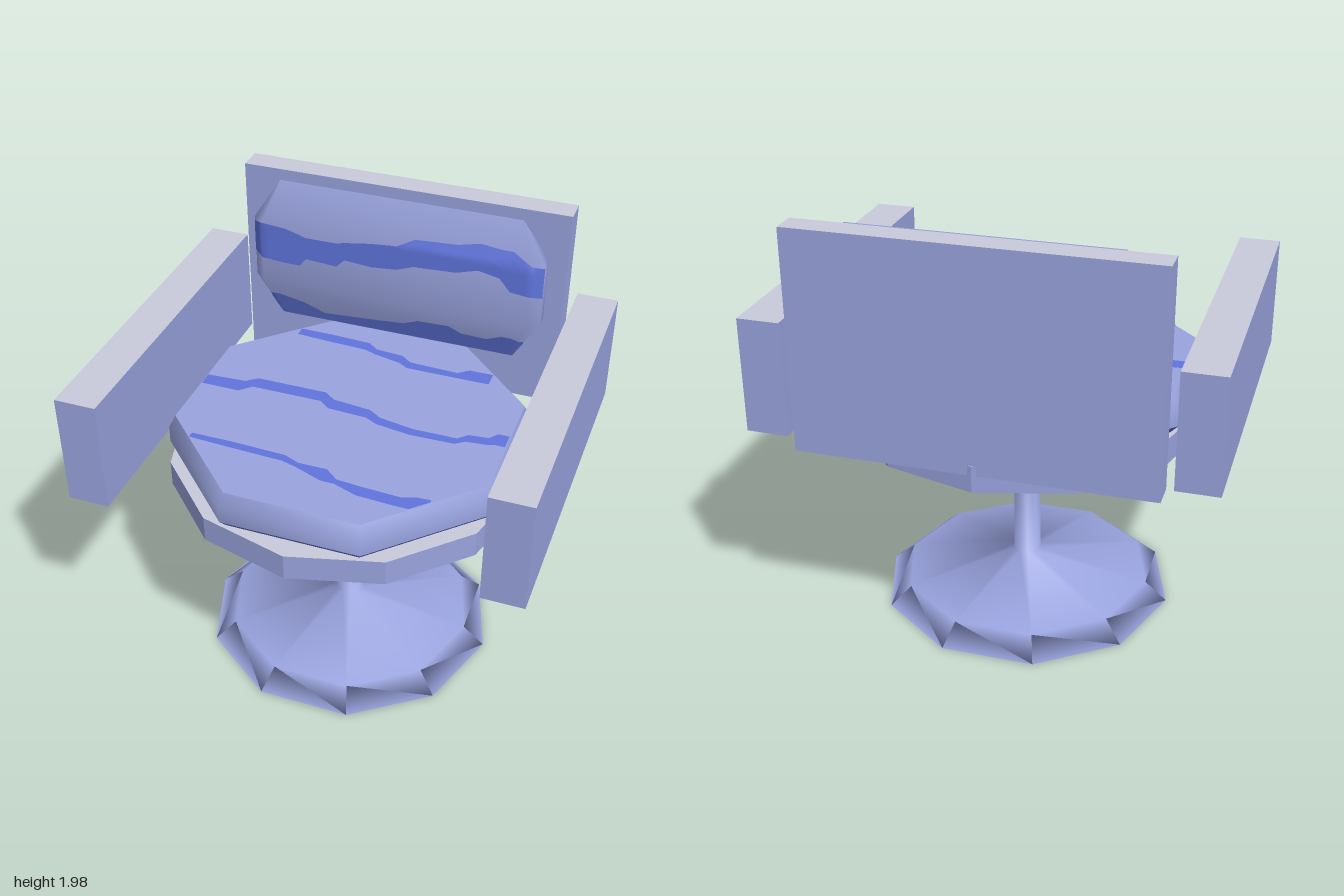
import * as THREE from 'three';

const mat = (name, color, side = THREE.FrontSide) => {
  const m = new THREE.MeshStandardMaterial({ color, side });
  m.name = name;
  return m;
};

export function createModel() {
  const model = new THREE.Group();
  const body = mat('lavender blue', 0x99a3de);
  const trim = mat('pale grey', 0xc9cadb);
  const stripe = mat('stripe blue', 0x6074dc, THREE.DoubleSide);

  const add = (name, geometry, material, x = 0, y = 0, z = 0) => {
    const mesh = new THREE.Mesh(geometry, material);
    mesh.name = name;
    mesh.position.set(x, y, z);
    model.add(mesh);
    return mesh;
  };
  const lathe = (pts, sides, start) =>
    new THREE.LatheGeometry(pts.map(([r, y]) => new THREE.Vector2(r, y)), sides, start);

  // Ribbon lying on a surface: points are [x, low, high], place maps (x, v) to a position
  const ribbon = (points, place, rows = 8) => {
    const pos = [], index = [], fine = [];
    const cuts = 3;
    points.forEach((p, i) => {
      const next = points[i + 1];
      for (let k = 0; k < (next ? cuts : 1); k++) {
        fine.push(next ? p.map((v, c) => v + (next[c] - v) * k / cuts) : p);
      }
    });
    fine.forEach(([x, low, high], i) => {
      for (let j = 0; j <= rows; j++) {
        pos.push(...place(x, low + (high - low) * j / rows));
        if (i < fine.length - 1 && j < rows) {
          const a = i * (rows + 1) + j, b = a + rows + 1;
          index.push(a, b, a + 1, b, b + 1, a + 1);
        }
      }
    });
    const g = new THREE.BufferGeometry();
    g.setAttribute('position', new THREE.Float32BufferAttribute(pos, 3));
    g.setIndex(index);
    g.computeVertexNormals();
    return g;
  };

  // Ten-sided foot, column and flared top
  add('pedestal', lathe([[0, 0], [0.68, 0], [0.58, 0.085], [0.066, 0.185], [0.06, 0.86], [0.14, 0.935]],
    10, Math.PI / 2), body);

  // Twelve-sided seat plate
  add('seatPlate', new THREE.CylinderGeometry(0.81, 0.81, 0.12, 12).toNonIndexed(), [body, trim, body], 0, 0.99, 0);
  const plate = model.getObjectByName('seatPlate').geometry;
  plate.computeVertexNormals();

  // Armrests and backrest panel with pale upper faces
  const boxMats = [body, body, trim, body, body, body];
  for (const [side, name] of [[1, 'leftArmrest'], [-1, 'rightArmrest']]) {
    add(name, new THREE.BoxGeometry(0.185, 0.51, 1.545), boxMats, side * 0.9075, 1.305, -0.002);
  }
  add('backPanel', new THREE.BoxGeometry(1.54, 0.975, 0.115), boxMats, 0, 1.4925, -0.7475);

  // Octagonal seat cushion with a coloured lower edge
  const k = 1 / Math.cos(Math.PI / 8);
  add('seatCushionSide', lathe([[0.745 * k, 1.09], [0.745 * k, 1.165], [0.715 * k, 1.228]], 8, Math.PI / 8), body);
  add('seatCushionLowerEdge', lathe([[0.71 * k, 1.05], [0.745 * k, 1.09]], 8, Math.PI / 8), stripe);
  const top = add('seatCushionTop', new THREE.CircleGeometry(0.715 * k, 8, Math.PI / 8), body, 0, 1.228, 0);
  top.rotation.x = -Math.PI / 2;

  // Seat stripes: [x, z near back, z near front]
  const seatStripes = [
    [[-0.45, -0.55, -0.5], [-0.3, -0.55, -0.49], [-0.1, -0.54, -0.48], [-0.05, -0.5, -0.46], [0.08, -0.49, -0.43],
      [0.13, -0.45, -0.4], [0.36, -0.44, -0.4], [0.41, -0.48, -0.4], [0.52, -0.48, -0.4]],
    [[-0.71, -0.04, 0.03], [-0.53, -0.05, 0.03], [-0.48, -0.09, -0.02], [-0.15, -0.09, -0.02], [-0.1, -0.05, 0.02],
      [0.08, -0.03, 0.03], [0.14, 0.01, 0.06], [0.3, 0.04, 0.085], [0.5, 0.04, 0.08], [0.54, 0, 0.05],
      [0.63, -0.01, 0.04], [0.66, -0.05, 0.03], [0.71, -0.05, 0.03]],
    [[-0.59, 0.39, 0.42], [-0.4, 0.39, 0.43], [-0.15, 0.4, 0.44], [-0.08, 0.43, 0.46], [0.05, 0.43, 0.51],
      [0.11, 0.48, 0.51], [0.22, 0.49, 0.55], [0.4, 0.5, 0.56], [0.45, 0.48, 0.56], [0.52, 0.475, 0.49]],
  ];
  for (const points of seatStripes) {
    add('seatStripe', ribbon(points, (x, z) => [x, 1.232, -z * -1], 1), stripe);
  }

  // Back cushion: eight-point cross-sections that pinch to a ridge at top and bottom
  const zMid = -0.625;
  const section = y => {
    const t = Math.max(0, (y - 1.77) / 0.19, (1.47 - y) / 0.21);
    return { outer: 0.69 - 0.12 * t, inner: 0.64 - 0.07 * t, deep: 0.075 * (1 - t), edge: 0.03 * (1 - t) };
  };
  const pos = [], index = [];
  [1.26, 1.47, 1.77, 1.96].forEach((y, j) => {
    const { outer, inner, deep, edge } = section(y);
    const loop = [[-inner, deep], [inner, deep], [outer, edge], [outer, -edge],
      [inner, -deep], [-inner, -deep], [-outer, -edge], [-outer, edge]];
    loop.forEach(([x, z], i) => {
      pos.push(x, y, z);
      if (j < 3) {
        const a = j * 8 + i, b = j * 8 + (i + 1) % 8;
        index.push(a, b, a + 8, b, b + 8, a + 8);
      }
    });
  });
  const cushion = new THREE.BufferGeometry();
  cushion.setAttribute('position', new THREE.Float32BufferAttribute(pos, 3));
  cushion.setIndex(index);
  cushion.computeVertexNormals();
  add('backCushion', cushion, body, 0, 0, zMid);

  // Back cushion stripes: [x, low y, high y], laid on the cushion front
  const onCushion = (x, y) => {
    const { outer, inner, deep, edge } = section(y);
    const px = Math.sign(x) * Math.min(Math.abs(x), outer);
    const f = Math.max(0, (Math.abs(px) - inner) / Math.max(outer - inner, 0.001));
    return [px, y, zMid + deep + (edge - deep) * f + 0.004];
  };
  const upper = [[-0.69, 1.6, 1.75], [-0.64, 1.59, 1.77], [-0.52, 1.58, 1.76], [-0.45, 1.58, 1.74], [-0.42, 1.62, 1.73],
    [-0.27, 1.61, 1.73], [-0.23, 1.65, 1.74], [-0.1, 1.64, 1.76], [0.02, 1.65, 1.77], [0.1, 1.68, 1.81],
    [0.3, 1.69, 1.82], [0.4, 1.72, 1.84], [0.5, 1.7, 1.83], [0.55, 1.64, 1.83], [0.64, 1.63, 1.78], [0.69, 1.61, 1.76]];
  const lower = [[-0.62, 1.35, 1.385], [-0.57, 1.265, 1.39], [-0.45, 1.265, 1.36], [-0.35, 1.265, 1.31],
    [-0.1, 1.265, 1.33], [0.05, 1.265, 1.345], [0.12, 1.265, 1.38], [0.27, 1.265, 1.385], [0.33, 1.265, 1.35],
    [0.45, 1.265, 1.345], [0.52, 1.265, 1.38], [0.57, 1.265, 1.38], [0.62, 1.35, 1.36]];
  add('upperBackStripe', ribbon(upper, onCushion), stripe);
  add('lowerBackStripe', ribbon(lower, onCushion), stripe);

  return model;
}
